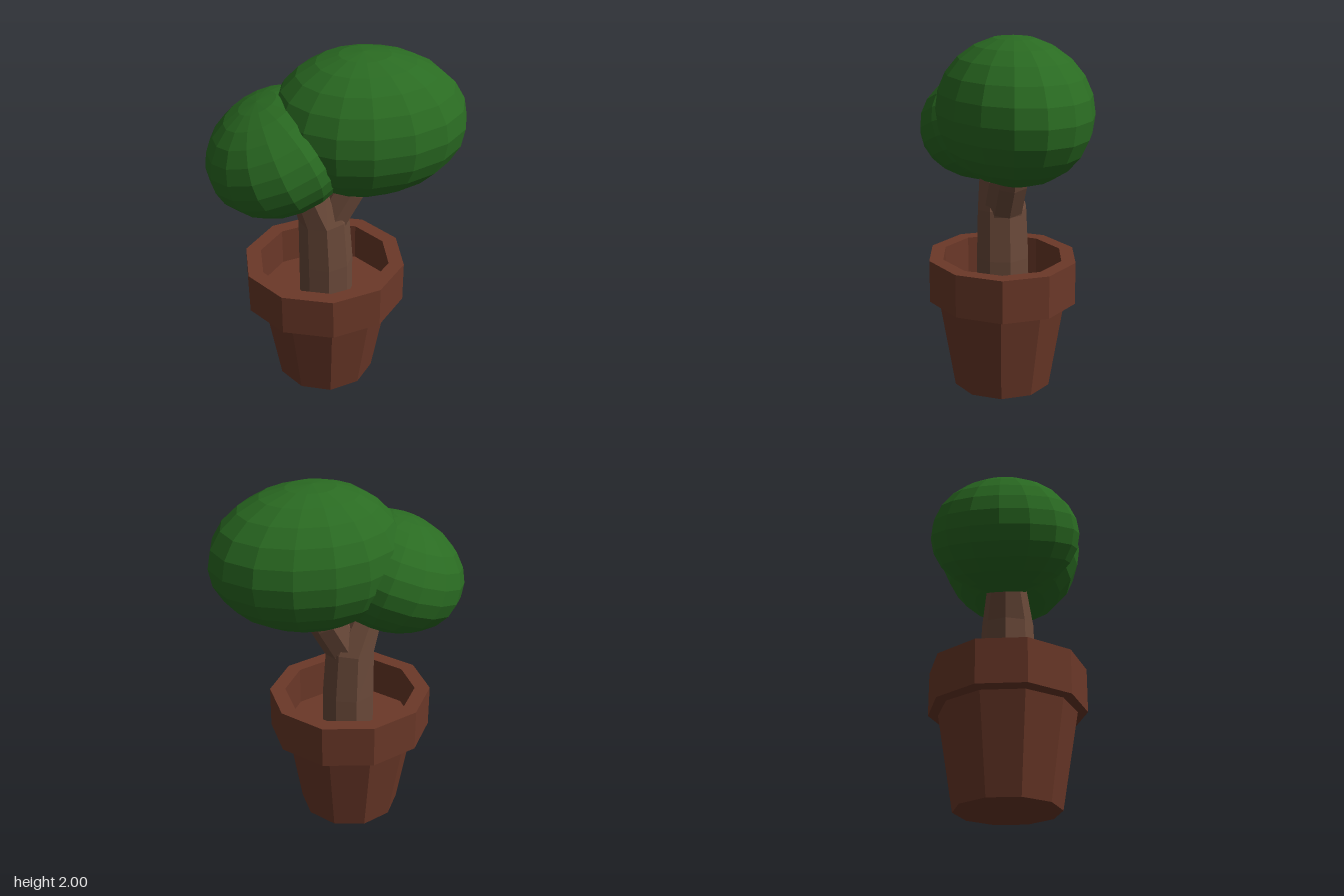
import * as THREE from 'three';

const mat = (color) => new THREE.MeshStandardMaterial({ color, flatShading: true });
const clay = mat(0x6b3828);
const bark = mat(0x6b4a3a);
const leaf = mat(0x2a6b22);
const POT_X = -0.07;

function add(parent, name, geometry, material) {
  const mesh = new THREE.Mesh(geometry, material);
  mesh.name = name;
  parent.add(mesh);
  return mesh;
}

const lathe = (profile, sides) =>
  new THREE.LatheGeometry(profile.map(([r, y]) => new THREE.Vector2(r, y)), sides);

// Limb lofted through rings [x, y, radius], each tilted by an angle about z
function limb(rings, sides = 8) {
  const geo = new THREE.CylinderGeometry(1, 1, rings.length - 1, sides, rings.length - 1);
  const pos = geo.attributes.position;
  for (let i = 0; i < pos.count; i++) {
    const k = Math.round(pos.getY(i) + (rings.length - 1) / 2);
    const [x, y, r, tilt] = rings[k];
    const px = pos.getX(i) * r;
    pos.setXYZ(i, x + px * Math.cos(tilt), y + px * Math.sin(tilt), pos.getZ(i) * r);
  }
  geo.computeVertexNormals();
  return geo;
}

// Rounded leaf mass; its -x half may be shorter than its +x half
function crown(right, left, height, depth) {
  const geo = new THREE.SphereGeometry(1, 16, 12);
  const pos = geo.attributes.position;
  for (let i = 0; i < pos.count; i++) {
    const x = pos.getX(i);
    pos.setXYZ(i, x * (x > 0 ? right : left), pos.getY(i) * height, pos.getZ(i) * depth);
  }
  geo.computeVertexNormals();
  return geo;
}

export function createModel() {
  const tree = new THREE.Group();
  tree.name = 'pottedTree';

  // Pot: tapered body with soil floor, and a thick overhanging rim
  const pot = new THREE.Group();
  pot.name = 'pot';
  pot.position.x = POT_X;
  tree.add(pot);
  add(pot, 'potBody', lathe([[0, 0], [0.28, 0], [0.37, 0.54], [0, 0.54]], 10), clay);
  const rim = add(pot, 'potRim',
    lathe([[0.34, 0.52], [0.42, 0.52], [0.42, 0.76], [0.34, 0.76], [0.34, 0.52]], 10), clay);
  rim.scale.x = 1.08;

  // Trunk leaning into the left-hand crown, with a branch to the other crown
  add(tree, 'trunk', limb([
    [-0.06, 0.52, 0.15, 0],
    [-0.06, 0.76, 0.15, 0],
    [-0.07, 1.03, 0.14, 0.1],
    [-0.14, 1.2, 0.11, 0.35],
    [-0.2, 1.36, 0.09, 0.35],
  ]), bark);
  add(tree, 'branch', limb([
    [-0.06, 0.96, 0.12, -0.1],
    [-0.03, 1.05, 0.11, -0.4],
    [0.06, 1.22, 0.11, -0.45],
    [0.13, 1.38, 0.09, -0.45],
  ]), bark);

  // Leaf crowns
  add(tree, 'largeCrown', crown(0.55, 0.485, 0.39, 0.405), leaf).position.set(0.135, 1.61, 0);
  const small = add(tree, 'smallCrown', crown(0.41, 0.41, 0.315, 0.405), leaf);
  small.position.set(-0.29, 1.465, 0);
  small.rotation.z = 0.38;

  return tree;
}
